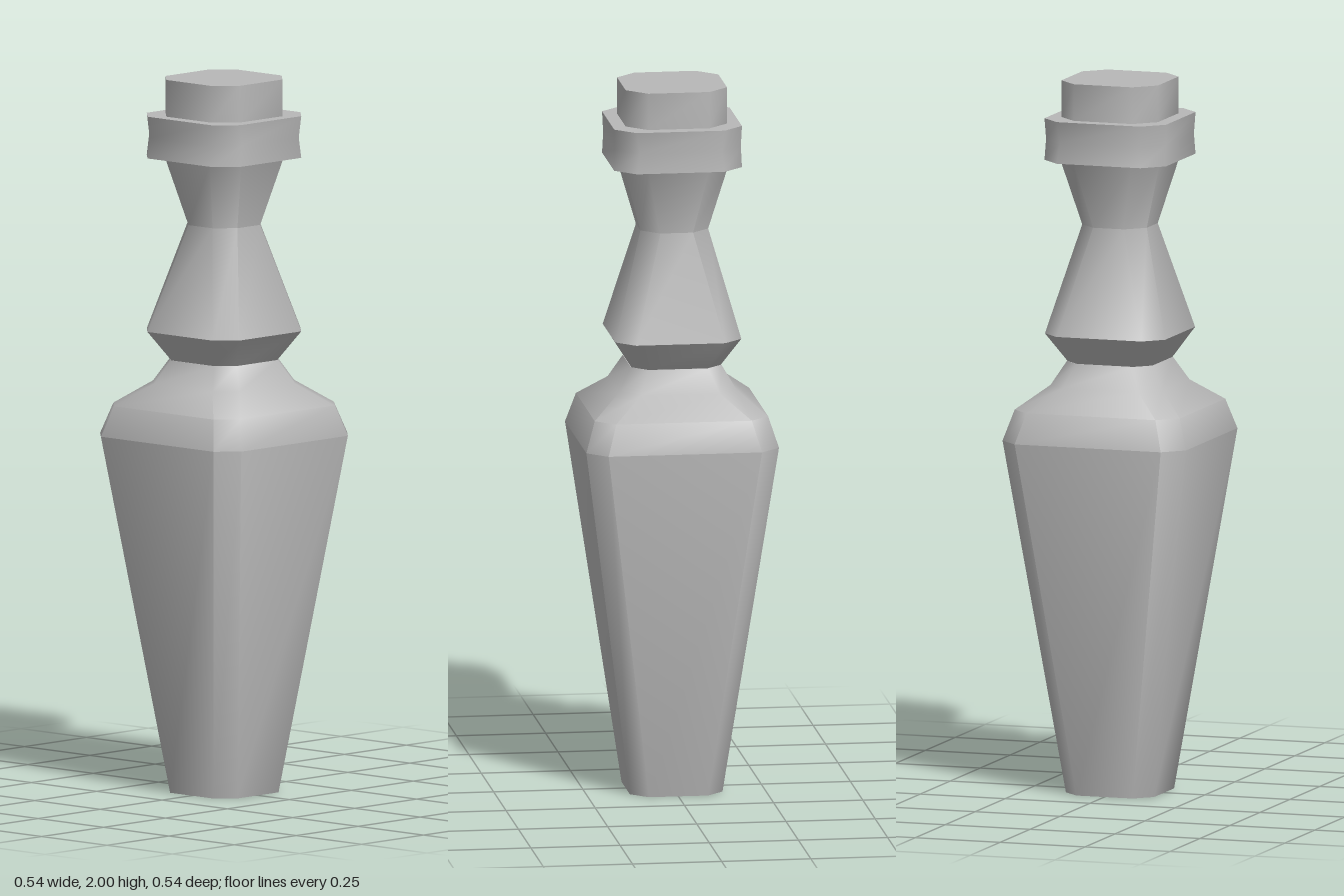
import * as THREE from 'three';
import { toCreasedNormals } from 'three/addons/utils/BufferGeometryUtils.js';

// Lofts square sections with cut corners; each ring is [y, half width, corner start].
function loft(rings) {
  const pos = [], index = [];
  for (const [y, h, c] of rings) {
    const outline = [[h, -c], [h, c], [c, h], [-c, h], [-h, c], [-h, -c], [-c, -h], [c, -h]];
    for (const [x, z] of outline) pos.push(x, y, z);
  }
  const last = (rings.length - 1) * 8;
  for (let r = 0; r < last; r += 8) {
    for (let i = 0; i < 8; i++) {
      const a = r + i, b = r + (i + 1) % 8;
      index.push(a, a + 8, b, b, a + 8, b + 8);
    }
  }
  // flat end caps
  for (let i = 1; i < 7; i++) {
    index.push(0, i, i + 1);
    index.push(last, last + i + 1, last + i);
  }
  const geometry = new THREE.BufferGeometry();
  geometry.setAttribute('position', new THREE.Float32BufferAttribute(pos, 3));
  geometry.setIndex(index);
  return toCreasedNormals(geometry, 0.83);
}

export function createModel() {
  const group = new THREE.Group();
  group.name = 'turnedLeg';
  const grey = new THREE.MeshStandardMaterial({ color: 0xb8b8b8 });
  grey.name = 'plain grey';

  const parts = {
    // tapered leg with rounded shoulder
    taperedBody: [
      [0, 0.13, 0.083], [1.0, 0.27, 0.215], [1.085, 0.243, 0.19],
      [1.147, 0.165, 0.112], [1.212, 0.127, 0.083],
    ],
    // flared ring and narrow waist
    neck: [
      [1.212, 0.125, 0.083], [1.293, 0.177, 0.125],
      [1.592, 0.095, 0.046], [1.78, 0.147, 0.085],
    ],
    // block collar, slightly pinched halfway up
    collar: [[1.78, 0.179, 0.123], [1.838, 0.177, 0.115], [1.897, 0.179, 0.123]],
    // mounting block on top
    topBlock: [[1.897, 0.142, 0.086], [2.0, 0.142, 0.086]],
  };
  for (const [name, rings] of Object.entries(parts)) {
    const mesh = new THREE.Mesh(loft(rings), grey);
    mesh.name = name;
    group.add(mesh);
  }
  return group;
}
